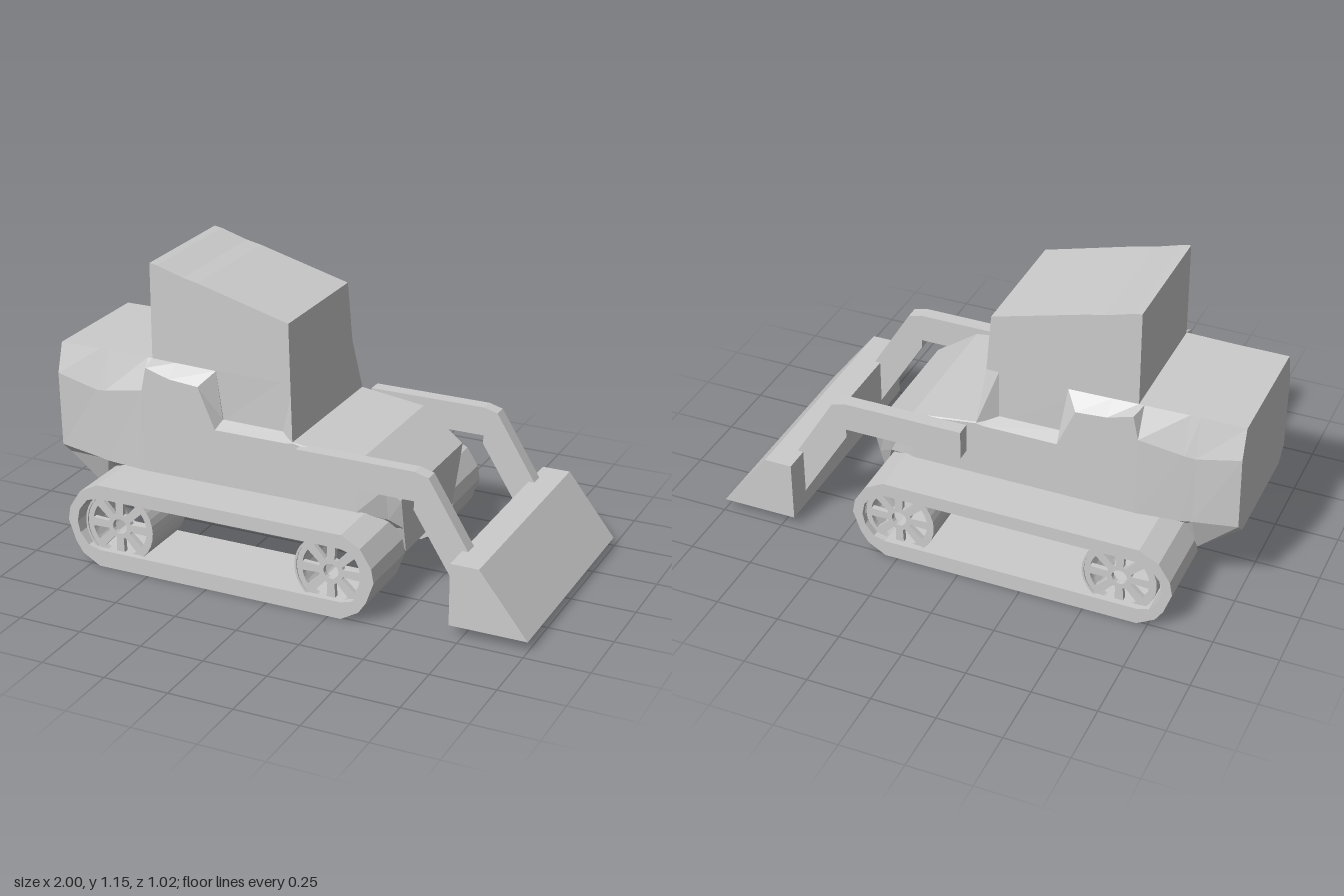
import * as THREE from 'three';

const material = new THREE.MeshStandardMaterial({ color: 0xcccccc, flatShading: true });

function addMesh(parent, name, geometry) {
  const mesh = new THREE.Mesh(geometry, material);
  mesh.name = name;
  parent.add(mesh);
}

// Solid prism: an x/y outline extruded from z0 to z1, with optional holes
function prism(outline, z0, z1, holes = []) {
  const toPoints = (list) => list.map(([x, y]) => new THREE.Vector2(x, y));
  const shape = new THREE.Shape(toPoints(outline));
  holes.forEach((h) => shape.holes.push(new THREE.Path(toPoints(h))));
  const geometry = new THREE.ExtrudeGeometry(shape, { depth: z1 - z0, bevelEnabled: false });
  geometry.translate(0, 0, z0);
  return geometry;
}

// Loft along x: each section is [x, half outline], the half outline is
// [z, y, optional own x] from the bottom up and is mirrored in z
function loft(sections) {
  const positions = [];
  const index = [];
  const n = sections[0][1].length * 2;
  sections.forEach(([x, half]) => {
    half.forEach(([z, y, px = x]) => positions.push(px, y, z));
    [...half].reverse().forEach(([z, y, px = x]) => positions.push(px, y, -z));
  });
  for (let i = 0; i < sections.length - 1; i++) {
    for (let j = 0; j < n; j++) {
      const a = i * n + j;
      const d = i * n + ((j + 1) % n);
      index.push(a, a + n, d + n, a, d + n, d);
    }
  }
  const last = (sections.length - 1) * n;
  for (let j = 1; j < n - 1; j++) {
    index.push(0, j, j + 1);
    index.push(last, last + j + 1, last + j);
  }
  const indexed = new THREE.BufferGeometry();
  indexed.setAttribute('position', new THREE.Float32BufferAttribute(positions, 3));
  indexed.setIndex(index);
  const geometry = indexed.toNonIndexed();
  geometry.computeVertexNormals();
  return geometry;
}

// Closed outline from its front end (bottom to top), mirrored about the track centre
const TRACK_X = -0.205;
const mirrorEnds = (end) => [...end, ...[...end].reverse().map(([x, y]) => [2 * TRACK_X - x, y])];

function arc(r, from, to, steps) {
  return Array.from({ length: steps + 1 }, (_, i) => {
    const a = from + ((to - from) * i) / steps;
    return [r * Math.cos(a), r * Math.sin(a)];
  });
}
const circle = (r, steps) => arc(r, 0, Math.PI * 2, steps).slice(0, -1);

// Wheel: an open drum with a spoked disc at its outer end
function createWheel() {
  const wheel = new THREE.Group();
  addMesh(wheel, 'drum', prism(circle(0.145, 32), 0.235, 0.49, [circle(0.137, 32)]));
  const holes = [circle(0.03, 16)];
  const spokes = 8;
  for (let i = 0; i < spokes; i++) {
    const mid = ((i + 0.5) * Math.PI * 2) / spokes;
    holes.push([...arc(0.115, mid - 0.24, mid + 0.24, 4), ...arc(0.05, mid + 0.1, mid - 0.1, 1)]);
  }
  addMesh(wheel, 'spokedDisc', prism(circle(0.14, 32), 0.465, 0.485, holes));
  return wheel;
}

// Track belt with its two wheels, facing +z; wheelXs are the wheel centres
function createTrack(wheelXs) {
  const track = new THREE.Group();
  const outline = mirrorEnds([[0.3, 0], [0.37, 0.04], [0.4, 0.085], [0.43, 0.17],
    [0.42, 0.225], [0.375, 0.295], [0.3, 0.335]]);
  const opening = mirrorEnds([[0.3, 0.067], [0.345, 0.08], [0.38, 0.125], [0.39, 0.17],
    [0.38, 0.22], [0.345, 0.265], [0.3, 0.28]]);
  addMesh(track, 'belt', prism(outline, 0.23, 0.51, [opening]));
  wheelXs.forEach((x, i) => {
    const wheel = createWheel();
    wheel.name = i ? 'frontWheel' : 'rearWheel';
    wheel.position.set(x, 0.17, 0);
    track.add(wheel);
  });
  return track;
}

export function createModel() {
  const model = new THREE.Group();
  model.name = 'bulldozer';

  // Hull: rear engine box, stepped side skirts, hood and tapered nose
  const floor = [0.225, 0.28];
  const sill = [0.31, 0.335];
  addMesh(model, 'hull', loft([
    [-1, [[0.22, 0.31], [0.275, 0.36], [0.285, 0.66], [0.25, 0.775]]],
    [-0.83, [[0.225, 0.18], [0.285, 0.34], [0.288, 0.62], [0.25, 0.775]]],
    [-0.79, [floor, [0.29, 0.335], [0.292, 0.625], [0.25, 0.775]]],
    [-0.62, [floor, sill, [0.31, 0.66], [0.255, 0.775]]],
    [-0.6, [floor, sill, [0.31, 0.755], [0.255, 0.775]]],
    [-0.5, [floor, sill, [0.31, 0.725], [0.255, 0.772]]],
    [-0.38, [floor, sill, [0.31, 0.715], [0.255, 0.768, -0.33]]],
    [-0.31, [floor, sill, [0.31, 0.555], [0.255, 0.578, -0.305]]],
    [-0.02, [floor, sill, [0.31, 0.555], [0.255, 0.575]]],
    [0.01, [floor, sill, [0.31, 0.56], [0.305, 0.563]]],
    [0.27, [floor, sill, [0.31, 0.525], [0.305, 0.53]]],
    [0.38, [[0.225, 0.26], [0.27, 0.31], [0.3, 0.445], [0.297, 0.452]]],
    [0.44, [[0.22, 0.17, 0.43], [0.255, 0.28, 0.435], [0.29, 0.4], [0.29, 0.41]]],
  ]));

  // Cabin: sloping roof, front pillars flaring out to the hood
  addMesh(model, 'cabin', loft([
    [-0.6, [[0.25, 0.5], [0.255, 0.77], [0.255, 1.15]]],
    [-0.57, [[0.25, 0.5], [0.255, 0.77], [0.255, 1.145]]],
    [-0.46, [[0.25, 0.5], [0.255, 0.77], [0.255, 1.112]]],
    [-0.4, [[0.25, 0.5], [0.255, 0.77], [0.255, 1.1]]],
    [-0.06, [[0.255, 0.55], [0.255, 0.77], [0.255, 1.008]]],
    [0.01, [[0.308, 0.56], [0.255, 0.77, -0.01], [0.255, 1.0, -0.03]]],
  ]));

  // Tracks: the right one is turned round, so its wheel centres are mirrored
  const wheelXs = [-0.63, 0.25];
  const leftTrack = createTrack(wheelXs);
  leftTrack.name = 'leftTrack';
  const rightTrack = createTrack(wheelXs.map((x) => 2 * TRACK_X - x));
  rightTrack.name = 'rightTrack';
  rightTrack.rotation.y = Math.PI;
  rightTrack.position.x = 2 * TRACK_X;
  model.add(leftTrack, rightTrack);

  // Lift arms and bucket
  const arm = [[0.04, 0.44], [0.51, 0.44], [0.51, 0.405], [0.7, 0.1], [0.725, 0.1],
    [0.725, 0.28], [0.565, 0.54], [0.51, 0.555], [0.04, 0.555]];
  addMesh(model, 'leftArm', prism(arm, 0.288, 0.343));
  addMesh(model, 'rightArm', prism(arm, -0.383, -0.328));
  addMesh(model, 'bucket',
    prism([[0.7, 0.04], [1, 0.04], [0.81, 0.283], [0.7, 0.283]], -0.485, 0.457));

  return model;
}
